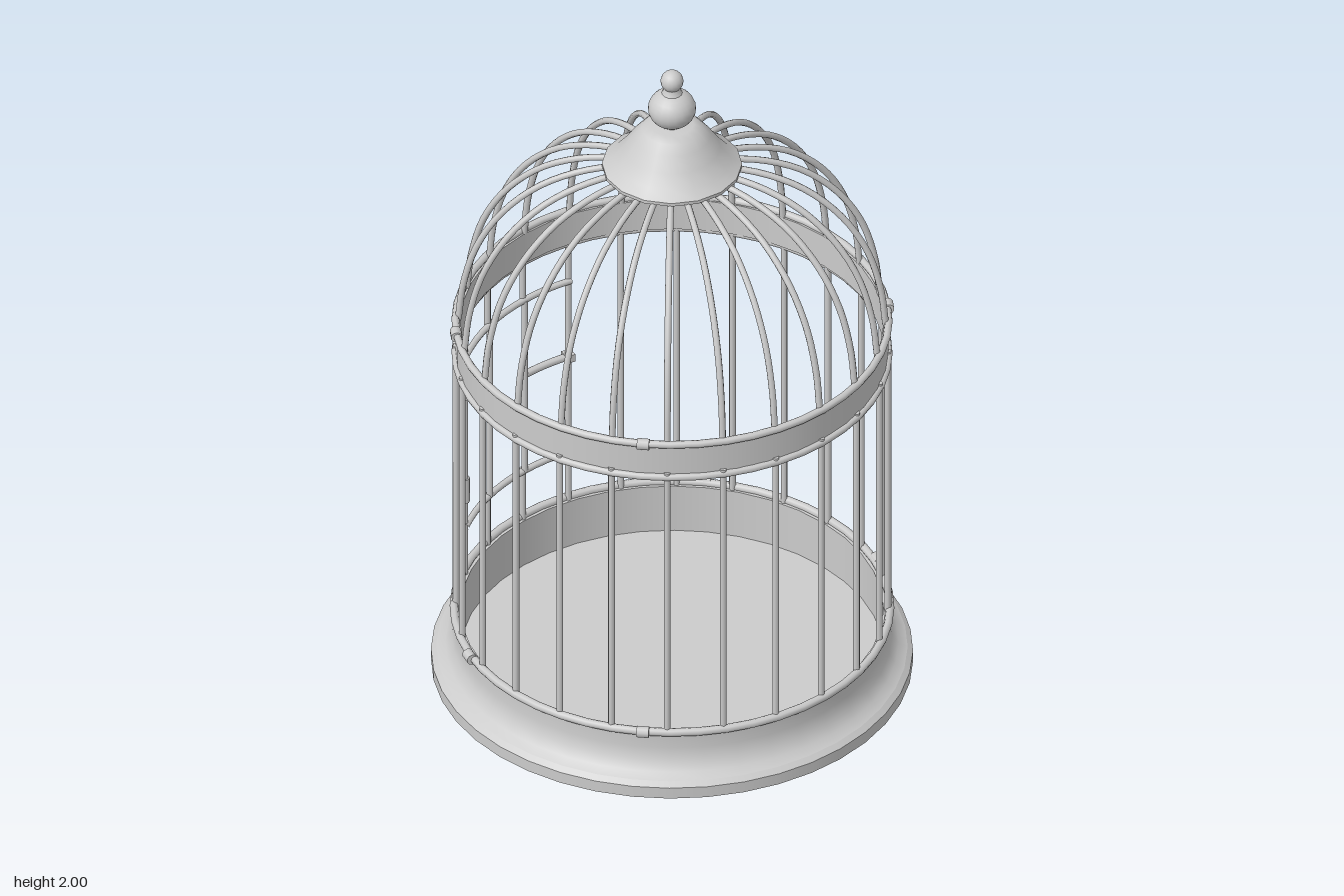
import * as THREE from 'three';

const deg = Math.PI / 180;
const R = 0.6;          // radius on which the bars stand
const BARS = 24;
const OFFSET = 0.7;     // slight twist of the bars, in degrees

const material = new THREE.MeshStandardMaterial({ color: 0xcccccc });

function add(parent, name, geometry) {
  const mesh = new THREE.Mesh(geometry, material);
  mesh.name = name;
  parent.add(mesh);
  return mesh;
}

// Turned shape from a list of [radius, height]; sharp corners by repeating a point
function turned(points, segments) {
  return new THREE.LatheGeometry(points.map(([r, y]) => new THREE.Vector2(r, y)), segments);
}

// Places a mesh on the cage wall at an angle in degrees (90 = front, 270 = back)
function place(mesh, angle, radius, y) {
  mesh.position.set(radius * Math.cos(angle * deg), y, radius * Math.sin(angle * deg));
  mesh.rotation.y = -angle * deg;
  return mesh;
}

function ring(parent, name, radius, y, tube) {
  const mesh = add(parent, name, new THREE.TorusGeometry(radius, tube, 8, 48));
  mesh.rotation.x = Math.PI / 2;
  mesh.position.y = y;
}

function uprightBar(parent, name, angle, radius, from, to) {
  const mesh = add(parent, name, new THREE.CylinderGeometry(0.0095, 0.0095, to - from, 8));
  place(mesh, angle, radius, (from + to) / 2);
}

// Rod following the round wall between two angles
function wallRod(parent, name, from, to, radius, y, thickness) {
  const points = [];
  for (let i = 0; i <= 8; i++) {
    const a = (from + (to - from) * i / 8) * deg;
    points.push(new THREE.Vector3(radius * Math.cos(a), y, radius * Math.sin(a)));
  }
  add(parent, name, new THREE.TubeGeometry(new THREE.CatmullRomCurve3(points), 12, thickness, 8));
}

export function createModel() {
  const cage = new THREE.Group();
  cage.name = 'birdcage';

  // Hollow tray with a flared foot
  add(cage, 'baseTray', turned([
    [0, 0], [0.67, 0], [0.67, 0], [0.67, 0.035], [0.67, 0.035], [0.655, 0.048], [0.655, 0.048],
    [0.63, 0.062], [0.612, 0.09], [0.603, 0.125], [0.604, 0.175], [0.604, 0.175],
    [0.588, 0.175], [0.588, 0.175], [0.588, 0.025], [0.588, 0.025], [0, 0.025],
  ], 40));
  ring(cage, 'baseRing', 0.606, 0.18, 0.012);

  // Band between walls and dome
  add(cage, 'band', turned([
    [0.588, 1.05], [0.602, 1.05], [0.602, 1.05], [0.602, 1.15], [0.602, 1.15],
    [0.588, 1.15], [0.588, 1.15], [0.588, 1.05],
  ], 40));
  ring(cage, 'lowerBandRing', 0.602, 1.045, 0.011);
  ring(cage, 'upperBandRing', 0.602, 1.155, 0.011);

  // Upright bars; the two behind the door are cut short above and below it
  const walls = new THREE.Group();
  walls.name = 'wallBars';
  cage.add(walls);
  for (let k = 0; k < BARS; k++) {
    const a = k * 360 / BARS + OFFSET;
    if (k === 17 || k === 18) {
      uprightBar(walls, 'shortBar', a, R, 0.17, 0.345);
      uprightBar(walls, 'shortBar', a, R, 0.92, 1.06);
    } else {
      uprightBar(walls, 'wallBar', a, R, 0.17, 1.06);
    }
  }

  // Curved dome bars meeting under the cap
  const dome = new THREE.Group();
  dome.name = 'domeBars';
  cage.add(dome);
  const arch = new THREE.CatmullRomCurve3([
    [0.594, 1.15], [0.58, 1.27], [0.542, 1.4], [0.475, 1.51], [0.38, 1.598],
    [0.28, 1.648], [0.18, 1.673], [0.06, 1.683],
  ].map(([x, y]) => new THREE.Vector3(x, y, 0)));
  const archGeometry = new THREE.TubeGeometry(arch, 24, 0.0095, 8);
  for (let k = 0; k < BARS; k++) {
    add(dome, 'domeBar', archGeometry).rotation.y = -(k * 360 / BARS + OFFSET) * deg;
  }

  // Door in the back wall
  const door = new THREE.Group();
  door.name = 'door';
  cage.add(door);
  const hinge = 240 + OFFSET, latch = 285 + OFFSET;
  for (const y of [0.34, 0.92]) wallRod(door, 'doorRail', hinge - 1, latch + 0.5, 0.594, y, 0.0095);
  for (const a of [255 + OFFSET, 270 + OFFSET]) uprightBar(door, 'doorBar', a, 0.592, 0.34, 0.92);
  for (const y of [0.46, 0.81]) {
    place(add(door, 'hinge', new THREE.CylinderGeometry(0.014, 0.014, 0.08, 10)), hinge, R, y);
  }
  wallRod(door, 'latchBolt', 270 + OFFSET, latch + 0.8, R, 0.66, 0.011);
  place(add(door, 'latchCatch', new THREE.BoxGeometry(0.032, 0.024, 0.028)), latch, R, 0.66);

  // Little clips holding the rings
  const clip = new THREE.CylinderGeometry(0.016, 0.016, 0.034, 10).rotateX(Math.PI / 2);
  for (const a of [38, 142, 218, 324]) place(add(cage, 'bandClip', clip), a, 0.604, 1.155);
  for (const a of [23, 142, 201, 323]) place(add(cage, 'baseClip', clip), a, 0.612, 0.182);

  // Flared cap, closed beneath
  add(cage, 'cap', turned([
    [0, 1.678], [0.195, 1.678], [0.195, 1.678], [0.195, 1.688], [0.195, 1.688], [0.165, 1.71],
    [0.135, 1.745], [0.108, 1.785], [0.085, 1.81], [0.06, 1.822], [0, 1.824],
  ], 16));

  // Finial of two balls on a thin neck
  const ball = add(cage, 'finialBall', new THREE.SphereGeometry(0.067, 20, 14));
  ball.position.y = 1.876;
  ball.scale.y = 0.86;
  add(cage, 'finialNeck', turned([
    [0.035, 1.915], [0.028, 1.93], [0.02, 1.945], [0.022, 1.96],
  ], 16));
  add(cage, 'finialTip', new THREE.SphereGeometry(0.032, 16, 12)).position.y = 1.968;

  return cage;
}
